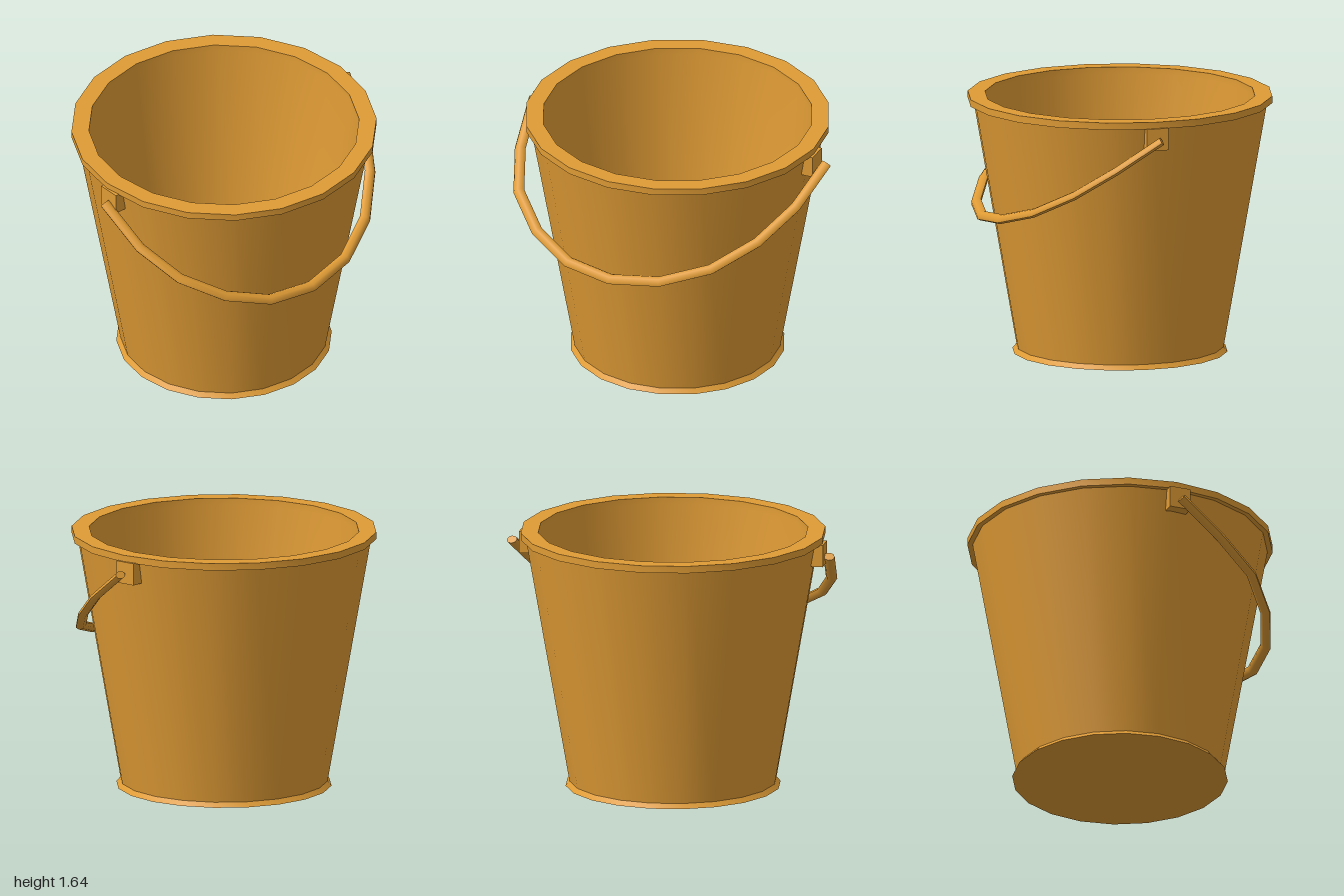
import * as THREE from 'three';
import { toCreasedNormals } from 'three/addons/utils/BufferGeometryUtils.js';

const CENTRE_X = -0.024;

// Flattened rod swept along a planar path, with closed ends
function sweepRod(path, inPlane, acrossPlane, sides) {
  const last = path.length - 1;
  const normal = new THREE.Vector3().crossVectors(
    path[last].clone().sub(path[0]), path[last >> 1].clone().sub(path[0])).normalize();
  const positions = [], index = [];
  path.forEach((p, i) => {
    const tangent = path[Math.min(i + 1, last)].clone().sub(path[Math.max(i - 1, 0)]).normalize();
    const u = new THREE.Vector3().crossVectors(normal, tangent).normalize();
    const v = new THREE.Vector3().crossVectors(tangent, u);
    for (let j = 0; j < sides; j++) {
      const a = (j / sides) * Math.PI * 2;
      positions.push(...p.clone()
        .addScaledVector(u, Math.cos(a) * inPlane)
        .addScaledVector(v, Math.sin(a) * acrossPlane).toArray());
    }
  });
  for (let i = 0; i < last; i++) {
    for (let j = 0; j < sides; j++) {
      const a = i * sides + j, b = i * sides + (j + 1) % sides;
      index.push(a, b, b + sides, a, b + sides, a + sides);
    }
  }
  const end = last * sides;
  for (let j = 1; j < sides - 1; j++) {
    index.push(0, j + 1, j, end, end + j, end + j + 1);
  }
  const geometry = new THREE.BufferGeometry();
  geometry.setAttribute('position', new THREE.Float32BufferAttribute(positions, 3));
  geometry.setIndex(index);
  return toCreasedNormals(geometry, 0.9);
}

export function createModel() {
  const group = new THREE.Group();
  const material = new THREE.MeshStandardMaterial({ color: 0xdf9b35 });
  const add = (name, geometry) => {
    const mesh = new THREE.Mesh(geometry, material);
    mesh.name = name;
    group.add(mesh);
    return mesh;
  };

  // Pail: flared foot, tapered wall, flat rim, hollow inside
  const profile = [
    [0, 0], [0.68, 0], [0.655, 0.03], [0.93, 1.6], [0.963, 1.6], [0.963, 1.645],
    [0.853, 1.645], [0.853, 1.6], [0.62, 0.03], [0, 0.03],
  ].map(([r, y]) => new THREE.Vector2(r, y));
  const pail = add('pail', toCreasedNormals(new THREE.LatheGeometry(profile, 20), 0.4));
  pail.position.x = CENTRE_X;

  // Handle lugs under the rim, on opposite sides
  for (const [name, angle] of [['leftLug', 0.34], ['rightLug', 0.34 + Math.PI]]) {
    const lug = add(name, new THREE.BoxGeometry(0.085, 0.14, 0.14).translate(0.932, 1.535, 0));
    lug.rotation.y = angle;
    lug.position.x = CENTRE_X;
  }

  // Handle hanging down in front
  const path = [
    [0.945, 1.535, -0.355], [0.957, 1.34, -0.07], [0.888, 1.165, 0.2], [0.743, 1.02, 0.47],
    [0.513, 0.93, 0.7], [0.225, 0.893, 0.85], [-0.085, 0.92, 0.915], [-0.38, 1.016, 0.895],
    [-0.647, 1.155, 0.79], [-0.835, 1.31, 0.59], [-0.97, 1.52, 0.33],
  ].map((p) => new THREE.Vector3(...p));
  add('handle', sweepRod(path, 0.036, 0.026, 8));

  return group;
}
